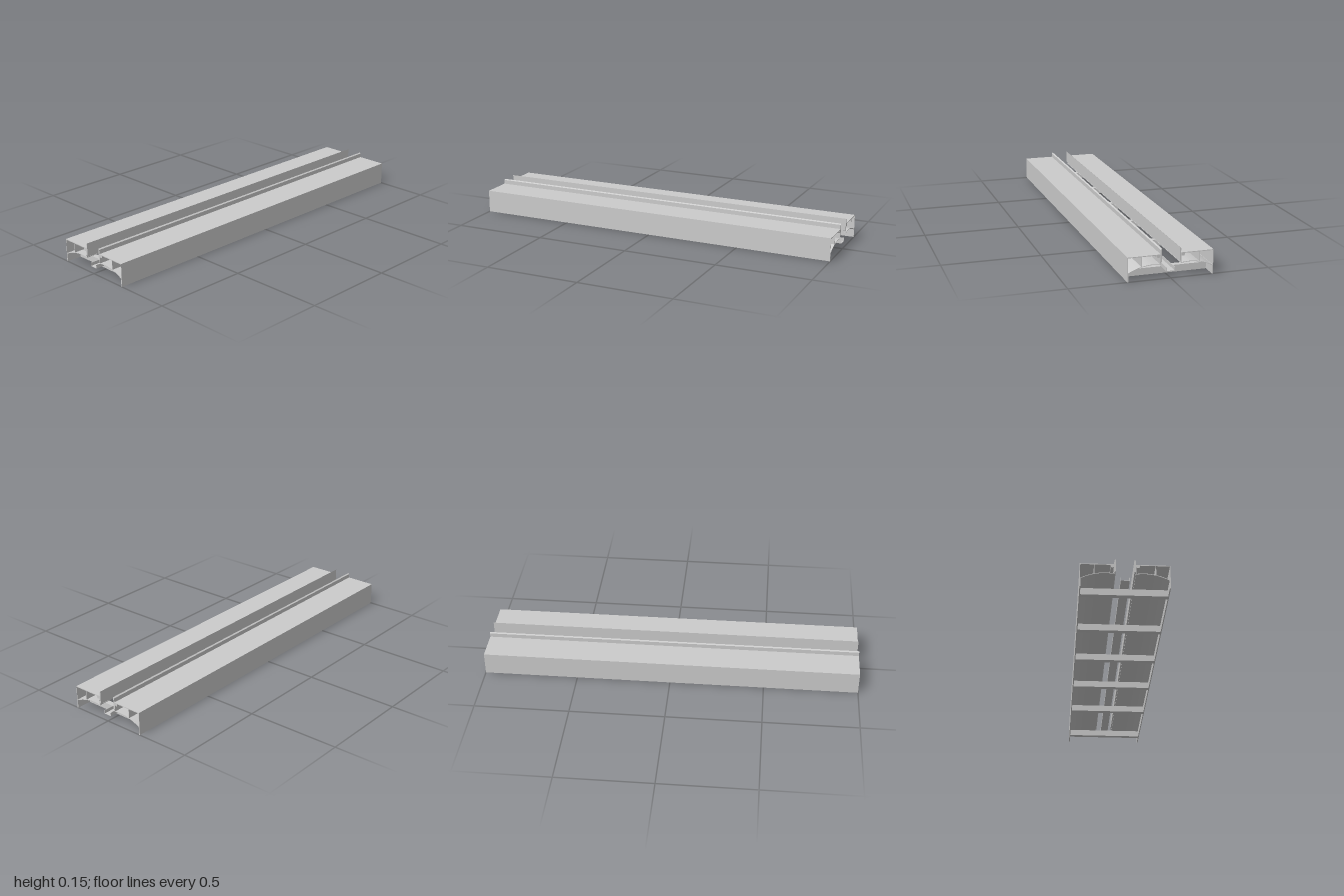
import * as THREE from 'three';

const material = new THREE.MeshStandardMaterial({ color: 0xcccccc });
const LENGTH = 2;

// Extrudes a cross-section in x/y along the full length
function profile(name, shape) {
  const geometry = new THREE.ExtrudeGeometry(shape, { depth: LENGTH, bevelEnabled: false, curveSegments: 10 });
  geometry.translate(0, 0, -LENGTH / 2);
  const mesh = new THREE.Mesh(geometry, material);
  mesh.name = name;
  return mesh;
}

// side mirrors the points across x = 0
function polygon(points, side = 1) {
  return new THREE.Shape(points.map(([x, y]) => new THREE.Vector2(x * side, y)));
}

function rect(x0, x1, y0, y1, side = 1) {
  return polygon([[x0, y0], [x1, y0], [x1, y1], [x0, y1]], side);
}

// Thin curved sheet: points on the curve, then back along its underside
function archShape(side) {
  const curve = new THREE.SplineCurve([
    [0.209, 0.045], [0.178, 0.059], [0.145, 0.069], [0.112, 0.0745], [0.085, 0.0755], [0.05, 0.0725],
  ].map(([x, y]) => new THREE.Vector2(x, y)));
  const upper = curve.getPoints(14).map((p) => [p.x, p.y]);
  const lower = upper.map(([x, y]) => [x, y - 0.003]).reverse();
  return polygon([...upper, ...lower], side);
}

// Rounded bead hanging beneath the inner edge of the deck
function beadShape(side) {
  const points = [[0.051, 0.117], [0.051, 0.106], [0.056, 0.106]];
  for (let i = 0; i <= 8; i++) {
    const a = Math.PI * (1.2 + (0.8 * i) / 8);
    points.push([0.0615 + 0.0075 * Math.cos(a), 0.111 + 0.0075 * Math.sin(a)]);
  }
  points.push([0.069, 0.117]);
  return polygon(points, side);
}

function createHalf(side) {
  const half = new THREE.Group();
  half.name = side > 0 ? 'leftHalf' : 'rightHalf';
  half.add(
    profile('deck', rect(0.047, 0.2135, 0.117, 0.121, side)),
    profile('outerWall', rect(0.211, 0.2135, 0, 0.121, side)),
    profile('lowerFlange', rect(0.2085, 0.211, 0, 0.045, side)),
    profile('innerWall', rect(0.051, 0.0535, 0.072, 0.117, side)),
    profile('web', rect(0.1435, 0.146, 0.067, 0.117, side)),
    profile('archedSheet', archShape(side)),
    profile('bead', beadShape(side)),
    // Upright blade with chamfered top and bottom
    profile('blade', polygon([
      [0.044, 0.083], [0.0505, 0.08], [0.0505, 0.143], [0.044, 0.148],
    ], side)),
  );
  return half;
}

export function createModel() {
  const model = new THREE.Group();
  model.name = 'slottedTrack';
  for (const side of [1, -1]) model.add(createHalf(side));

  // Open channel along the centre
  const x = 0.021, t = 0.002, y = 0.034, top = 0.053;
  model.add(profile('centreChannel', polygon([
    [-x, y], [x, y], [x, top], [x - t, top], [x - t, y + t],
    [-x + t, y + t], [-x + t, top], [-x, top],
  ])));

  // Cross beams
  for (const z of [-0.907, -0.515, -0.167, 0.185, 0.533, 0.905]) {
    const beam = new THREE.Mesh(new THREE.BoxGeometry(0.417, 0.034, 0.028), material);
    beam.name = 'crossBeam';
    beam.position.set(0, 0.017, z);
    model.add(beam);
  }
  return model;
}
